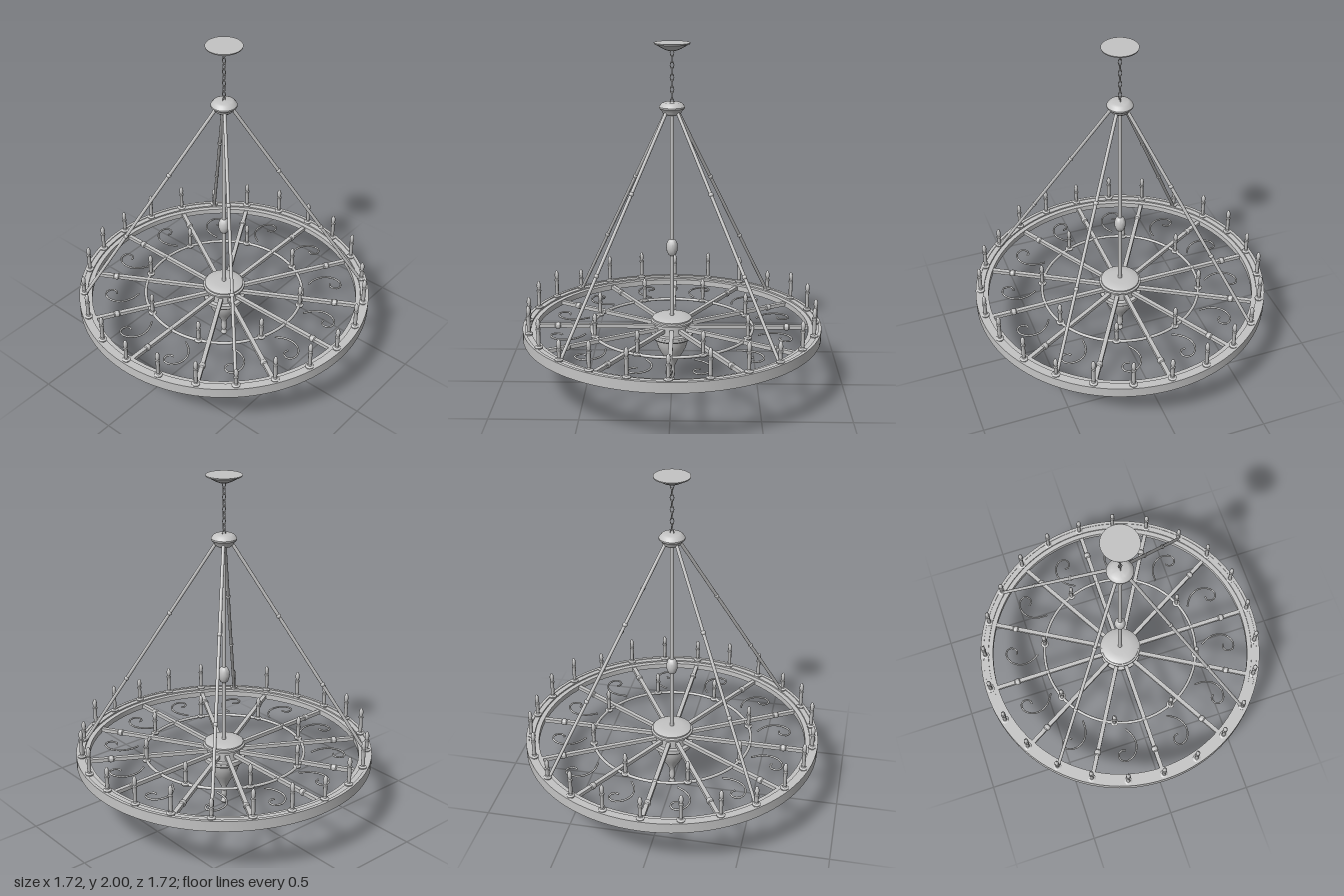
import * as THREE from 'three';
import { toCreasedNormals } from 'three/addons/utils/BufferGeometryUtils.js';

export function createModel() {
  const model = new THREE.Group();
  model.name = 'chandelier';
  const iron = new THREE.MeshStandardMaterial({ color: 0xc4c4c4 });
  iron.name = 'light grey iron';

  const add = (name, geometry, parent = model) => {
    const mesh = new THREE.Mesh(geometry, iron);
    mesh.name = name;
    parent.add(mesh);
    return mesh;
  };
  // Profile points are [radius, height], bottom to top
  const lathe = (profile, segments = 32) => toCreasedNormals(
    new THREE.LatheGeometry(profile.map(([r, y]) => new THREE.Vector2(r, y)), segments), 0.6);
  const bar = (name, a, b, r) => {
    const mesh = add(name, new THREE.CylinderGeometry(r, r, a.distanceTo(b), 12));
    mesh.position.copy(a).lerp(b, 0.5);
    mesh.quaternion.setFromUnitVectors(new THREE.Vector3(0, 1, 0), b.clone().sub(a).normalize());
  };
  const polar = (r, angle, y) => new THREE.Vector3(r * Math.cos(angle), y, r * Math.sin(angle));

  // Ceiling canopy
  add('canopy', lathe([[0, 1.955], [0.025, 1.957], [0.05, 1.967], [0.08, 1.984], [0.098, 1.993], [0.1, 2], [0, 2]], 40));

  // Chain of alternating oval links
  const link = new THREE.TorusGeometry(0.01, 0.0024, 6, 16);
  link.scale(1, 1.9, 1);
  for (let i = 0; i < 9; i++) {
    const mesh = add('chainLink', link);
    mesh.position.y = 1.945 - i * 0.0335;
    mesh.rotation.y = (i % 2) * Math.PI / 2;
  }

  // Collar gathering the rods
  add('topCollar', lathe([[0, 1.605], [0.04, 1.605], [0.052, 1.616], [0.054, 1.624], [0.072, 1.642], [0.072, 1.65],
    [0.058, 1.668], [0.045, 1.674], [0, 1.674]], 32));

  // Centre rod with its oval bead
  bar('centreRod', new THREE.Vector3(0, 0.4, 0), new THREE.Vector3(0, 1.62, 0), 0.012);
  add('centreBead', lathe([[0.012, 0.793], [0.022, 0.8], [0.03, 0.82], [0.033, 0.842], [0.03, 0.865], [0.022, 0.883], [0.012, 0.89]], 20));

  // Four slanting rods
  for (let i = 0; i < 4; i++) {
    const angle = Math.PI / 4 + i * Math.PI / 2;
    const top = polar(0.045, angle, 1.62);
    const foot = polar(0.822, angle, 0.385);
    bar('slantRod', top, foot, 0.0095);
    for (const t of [0.335, 0.665]) {
      const bead = add('rodBead', new THREE.SphereGeometry(0.014, 12, 8));
      bead.position.copy(top).lerp(foot, t);
    }
  }

  // Hub and turned finial
  add('hub', lathe([[0, 0.003], [0.012, 0.006], [0.02, 0.02], [0.015, 0.036], [0.011, 0.042], [0.017, 0.06],
    [0.018, 0.08], [0.014, 0.11], [0.022, 0.13], [0.04, 0.165], [0.062, 0.2], [0.08, 0.235], [0.09, 0.265], [0.094, 0.292],
    [0.112, 0.295], [0.12, 0.304], [0.12, 0.316], [0.123, 0.318], [0.123, 0.33], [0.1, 0.332], [0.1, 0.395],
    [0.123, 0.397], [0.123, 0.408], [0.113, 0.412], [0.113, 0.42], [0.1, 0.427], [0.06, 0.432], [0, 0.432]], 48));

  // Stepped outer rim, a closed section
  add('outerRing', lathe([[0.86, 0.33], [0.86, 0.391], [0.842, 0.391], [0.842, 0.387], [0.812, 0.387], [0.812, 0.378],
    [0.785, 0.378], [0.785, 0.345], [0.812, 0.345], [0.812, 0.336], [0.842, 0.336], [0.842, 0.33], [0.86, 0.33]], 96));

  // Slender inner ring
  const innerRing = add('innerRing', new THREE.TorusGeometry(0.467, 0.009, 10, 80));
  innerRing.rotation.x = Math.PI / 2;
  innerRing.position.y = 0.362;

  // Scroll drawn on the plan as [x, z]
  const scrollPath = new THREE.CatmullRomCurve3([[-0.134, -0.49], [-0.185, -0.522], [-0.22, -0.575], [-0.219, -0.635],
    [-0.183, -0.68], [-0.142, -0.68], [-0.126, -0.65], [-0.138, -0.624], [-0.163, -0.618]]
    .map(([x, z]) => new THREE.Vector3(x, 0.362, z)));
  const scroll = new THREE.TubeGeometry(scrollPath, 16, 0.0055, 8);
  const knob = lathe([[0.012, -0.018], [0.018, -0.012], [0.02, 0], [0.018, 0.012], [0.012, 0.018]], 16);

  // Twelve flat spokes, each with a knob, and the scrolls between them
  for (let i = 0; i < 12; i++) {
    const spoke = new THREE.Group();
    spoke.name = 'spoke';
    spoke.rotation.y = i * Math.PI / 6;
    model.add(spoke);
    add('spokeBar', new THREE.BoxGeometry(0.7, 0.022, 0.024), spoke).position.set(0.44, 0.362, 0);
    const bead = add('spokeKnob', knob, spoke);
    bead.position.set(0.663, 0.362, 0);
    bead.rotation.z = Math.PI / 2;
    add('scroll', scroll, spoke);
    if (i % 3 === 0) add('ringJoint', new THREE.SphereGeometry(0.015, 12, 8), spoke).position.set(0.467, 0.362, 0);
  }

  // Candle with drip pan and flame-shaped bulb, h is its full height
  const candle = (h) => lathe([[0, 0], [0.022, 0], [0.024, 0.008], [0.012, 0.014], [0.009, 0.02], [0.011, 0.03],
    [0.011, h - 0.07], [0.014, h - 0.065], [0.014, h - 0.058], [0.009, h - 0.054], [0.013, h - 0.035],
    [0.012, h - 0.02], [0.007, h - 0.006], [0, h]], 14);
  const tall = candle(0.172), medium = candle(0.148), short = candle(0.125);
  const stand = (name, geometry, r, angle, y) => add(name, geometry).position.copy(polar(r, angle, y));

  for (let i = 0; i < 24; i++) {
    const geometry = i % 6 === 0 ? medium : i % 6 === 3 ? short : tall;
    stand('outerCandle', geometry, 0.829, i * Math.PI / 12, 0.388);
  }
  for (let i = 0; i < 8; i++) stand('innerCandle', medium, 0.467, Math.PI / 8 + i * Math.PI / 4, 0.358);

  return model;
}
